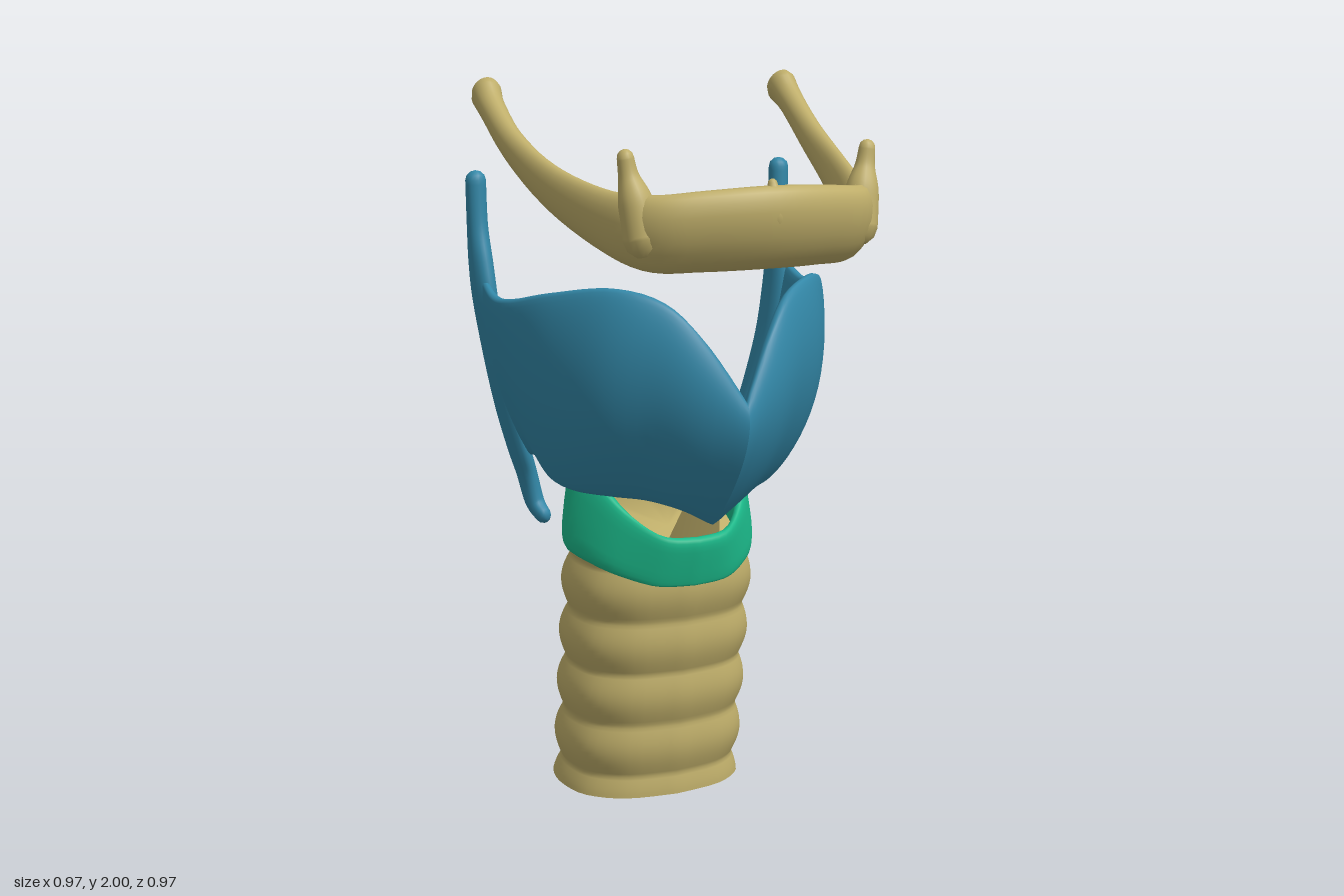
import * as THREE from 'three';

const V = (x, y, z) => new THREE.Vector3(x, y, z);
const material = (color, side = THREE.FrontSide) => new THREE.MeshStandardMaterial({ color, side });
const bone = material(0xbfae6a), tissue = material(0xbfae6a, THREE.DoubleSide);
const blue = material(0x3388a8), green = material(0x1cbc8c), orange = material(0xb8621e);

// Skin a list of closed rings; winding is chosen so that the enclosed volume is positive
function skin(rings, loop = false) {
  const n = rings[0].length, m = rings.length, pts = rings.flat(), index = [];
  for (let i = 0; i < (loop ? m : m - 1); i++) {
    for (let j = 0; j < n; j++) {
      const k = (j + 1) % n, r = ((i + 1) % m) * n;
      const a = i * n + j, b = i * n + k, c = r + k, d = r + j;
      index.push(a, b, c, a, c, d);
    }
  }
  let volume = 0;
  for (let i = 0; i < index.length; i += 3) {
    const [a, b, c] = [pts[index[i]], pts[index[i + 1]], pts[index[i + 2]]];
    volume += a.dot(b.clone().cross(c));
  }
  if (volume < 0) index.reverse();
  const g = new THREE.BufferGeometry().setFromPoints(pts);
  g.setIndex(index);
  g.computeVertexNormals();
  return g;
}

const mirror = rings => rings.map(r => r.map(p => V(-p.x, p.y, p.z)));

// Smooth interpolation through rows of numbers
function sampleRows(rows, u) {
  const f = u * (rows.length - 1), i = Math.min(Math.floor(f), rows.length - 2), t = f - i;
  const at = k => rows[Math.max(0, Math.min(rows.length - 1, k))];
  return rows[0].map((_, c) => {
    const p0 = at(i - 1)[c], p1 = at(i)[c], p2 = at(i + 1)[c], p3 = at(i + 2)[c];
    return p1 + 0.5 * t * (p2 - p0 + t * (2 * p0 - 5 * p1 + 4 * p2 - p3 + t * (3 * (p1 - p2) + p3 - p0)));
  });
}

// Round-ended tapered sweep; rows are [x, y, z, radius, radius towards ref]
function sweep(rows, ref = V(0, 0, 1), steps = 24, sides = 16) {
  rows = rows.map(r => (r.length === 4 ? [...r, r[3]] : r));
  const rings = [];
  const ring = (u, cap) => {
    const [x, y, z, a, b] = sampleRows(rows, u);
    const p = sampleRows(rows, Math.max(0, u - 0.01)), q = sampleRows(rows, Math.min(1, u + 0.01));
    const t = V(q[0] - p[0], q[1] - p[1], q[2] - p[2]).normalize();
    const side = t.clone().cross(ref).normalize(), up = side.clone().cross(t);
    const s = Math.cos(cap), centre = V(x, y, z).addScaledVector(t, Math.sin(cap) * Math.min(a, b));
    rings.push(Array.from({ length: sides }, (_, j) => {
      const w = (j / sides) * Math.PI * 2;
      return centre.clone().addScaledVector(side, a * s * Math.cos(w)).addScaledVector(up, b * s * Math.sin(w));
    }));
  };
  for (const c of [-1.57, -1.05, -0.52]) ring(0, c);
  for (let i = 0; i <= steps; i++) ring(i / steps, 0);
  for (const c of [0.52, 1.05, 1.57]) ring(1, c);
  return rings;
}

// Ringed windpipe with a hollowed back wall
function tracheaRings() {
  const half = [[0, 0.18], [0.14, 0.155], [0.23, 0.08], [0.255, -0.03], [0.24, -0.13], [0.2, -0.185], [0.1, -0.165], [0, -0.15]];
  const N = 28, rings = [];
  const outline = [];
  for (let i = 0; i < 2 * N; i++) {
    const u = i <= N ? i / N : 2 - i / N, [x, z] = sampleRows(half, u);
    outline.push([i <= N ? x : -x, z, u < 0.7 ? 1 : 0]);
  }
  const addRing = (y, scale, slant, shift) => rings.push(outline.map(([x, z, ribbed]) => {
    const bump = 0.085 * (Math.abs(Math.sin(Math.PI * (y - 0.06) / 0.155)) - 0.6);
    const s = scale * (1 + bump * ribbed);
    return V(x * s, y + slant * (0.18 - z * scale) / 0.36, z * s - 0.3 + 0.14 * y + shift);
  }));
  for (let i = 0; i <= 70; i++) addRing(i / 100, 1, 0, 0);
  // slanting closed top inside the cricoid ring
  addRing(0.7, 0.95, 0.06, 0.015);
  addRing(0.7, 0.88, 0.14, 0.03);
  addRing(0.7, 0.001, 0.14, 0.03);
  return rings;
}

// Signet-shaped ring: low arch in front, tall plate behind
function cricoidRings() {
  // outer x, z, inner x, z, bottom, top
  const keys = [
    [0, 0.042, 0, -0.005, 0.64, 0.78], [0.11, 0.022, 0.1, -0.025, 0.645, 0.79],
    [0.21, -0.06, 0.16, -0.09, 0.67, 0.85], [0.265, -0.16, 0.185, -0.17, 0.69, 0.92],
    [0.29, -0.26, 0.175, -0.24, 0.7, 0.965], [0.25, -0.335, 0.14, -0.3, 0.7, 1.0],
    [0.18, -0.405, 0.09, -0.335, 0.7, 1.03], [0.08, -0.425, 0.04, -0.345, 0.725, 1.03], [0, -0.44, 0, -0.345, 0.735, 1.01]];
  const N = 36, sides = 24, round = c => Math.sign(c) * Math.abs(c) ** 0.65;
  return Array.from({ length: 2 * N }, (_, i) => {
    const [ox, oz, ix, iz, yb, yt] = sampleRows(keys, i <= N ? i / N : 2 - i / N), sx = i <= N ? 1 : -1;
    return Array.from({ length: sides }, (_, j) => {
      const w = (j / sides) * Math.PI * 2, r = 0.5 + 0.5 * round(Math.cos(w)), h = 0.5 + 0.5 * round(Math.sin(w));
      // the sides lean inwards towards the top and the front arch towards the bottom
      const x = ix + (ox * (1 - 0.14 * h) - ix) * r, lean = 0.04 * (1 - h) * Math.max(0, 0.8 + 5 * oz);
      return V(sx * x, yb + (yt - yb) * h, iz + (oz - iz) * r - lean * r);
    });
  });
}

// One wing of the thyroid shield: bottom, middle and top points from the front midline to the back edge
function wingRings() {
  const keys = [
    [0, 0.84, 0.1, 0, 1.06, 0.27, 0, 1.2, 0.295], [0.07, 0.88, 0.08, 0.1, 1.12, 0.235, 0.085, 1.35, 0.245],
    [0.15, 0.905, 0.03, 0.2, 1.18, 0.168, 0.17, 1.45, 0.185], [0.22, 0.91, -0.03, 0.3, 1.18, 0.078, 0.28, 1.485, 0.1],
    [0.285, 0.91, -0.13, 0.365, 1.16, -0.05, 0.39, 1.46, -0.05], [0.315, 0.925, -0.22, 0.4, 1.16, -0.18, 0.445, 1.43, -0.18],
    [0.32, 0.97, -0.31, 0.405, 1.18, -0.31, 0.46, 1.43, -0.28], [0.325, 0.95, -0.43, 0.405, 1.18, -0.43, 0.452, 1.49, -0.41]];
  const point = (u, v) => {
    const k = sampleRows(keys, u), a = (1 - v) * (1 - 2 * v), b = 4 * v * (1 - v), c = v * (2 * v - 1);
    return V(...[0, 1, 2].map(i => a * k[i] + b * k[i + 3] + c * k[i + 6]));
  };
  const rings = [], U = 48, sides = 48, e = 0.005;
  for (let i = 0; i <= U; i++) {
    const u = Math.sin((i / U) * Math.PI / 2), ring = [];
    for (let j = 0; j < sides; j++) {
      const w = (j / sides) * Math.PI * 2, v = 0.5 - 0.5 * Math.cos(w);
      const u0 = Math.max(0, u - e), u1 = Math.min(1, u + e), v0 = Math.max(0, v - e), v1 = Math.min(1, v + e);
      const normal = point(u1, v).sub(point(u0, v)).cross(point(u, v1).sub(point(u, v0)));
      if (i === 0) normal.x = 0;
      normal.normalize();
      const thick = 0.025 * Math.sign(Math.sin(w)) * Math.abs(Math.sin(w)) ** 0.5 * Math.sqrt(Math.max(0, 1 - u ** 12));
      const p = point(u, v).addScaledVector(normal, thick);
      p.x = Math.max(0, p.x);
      ring.push(p);
    }
    rings.push(ring);
  }
  return rings;
}

export function createModel() {
  const model = new THREE.Group();
  const add = (name, geometry, mat) => {
    const mesh = new THREE.Mesh(geometry, mat);
    mesh.name = name;
    model.add(mesh);
  };
  const addPair = (name, rings, mat) => {
    add(name + 'Left', skin(rings), mat);
    add(name + 'Right', skin(mirror(rings)), mat);
  };

  add('trachea', skin(tracheaRings()), tissue);
  add('cricoidCartilage', skin(cricoidRings(), true), green);

  // thyroid shield; its thick back border runs on into the upper and lower horns
  addPair('thyroidWing', wingRings(), blue);
  addPair('thyroidBackBorderAndHorns', sweep([[0.458, 1.722, -0.404, 0.028, 0.026], [0.456, 1.6, -0.403, 0.028, 0.032],
    [0.452, 1.5, -0.393, 0.031, 0.048], [0.444, 1.4, -0.385, 0.031, 0.058], [0.42, 1.25, -0.385, 0.028, 0.06],
    [0.385, 1.1, -0.398, 0.027, 0.058], [0.348, 0.98, -0.407, 0.028, 0.054], [0.322, 0.9, -0.413, 0.027, 0.042],
    [0.304, 0.82, -0.403, 0.026, 0.033], [0.291, 0.785, -0.372, 0.022, 0.028]], V(0, 0, 1), 60), blue);

  // hyoid bone: one U-shaped sweep, two lesser horns and a middle ridge
  const arm = [[0.16, 1.655, 0.39, 0.055, 0.108], [0.28, 1.65, 0.335, 0.052, 0.1], [0.35, 1.675, 0.21, 0.036, 0.08],
    [0.408, 1.738, 0.02, 0.03, 0.06], [0.435, 1.825, -0.17, 0.031, 0.045], [0.442, 1.91, -0.3, 0.034, 0.04], [0.44, 1.95, -0.355, 0.04, 0.05]];
  const left = arm.map(([x, ...rest]) => [-x, ...rest]).reverse();
  add('hyoidBone', skin(sweep([...left, [0, 1.66, 0.415, 0.057, 0.112], ...arm], V(0, 1, 0.4), 72, 20)), bone);
  addPair('lesserHorn', sweep([[0.3, 1.64, 0.335, 0.05], [0.315, 1.73, 0.325, 0.043], [0.328, 1.79, 0.315, 0.026], [0.335, 1.835, 0.312, 0.021]]), bone);
  add('hyoidRidge', skin(sweep([[0, 1.64, 0.435, 0.025], [0, 1.7, 0.452, 0.03], [0, 1.77, 0.438, 0.012]])), bone);

  // arytenoids: upright horn, outer arm, inner corner and forward arm
  const up = V(0, 1, 0);
  addPair('arytenoidBody', sweep([[0.12, 1.0, -0.305, 0.05], [0.112, 1.07, -0.32, 0.04], [0.097, 1.14, -0.34, 0.024], [0.088, 1.2, -0.362, 0.012]]), orange);
  addPair('arytenoidOuterArm', sweep([[0.1, 1.06, -0.315, 0.035, 0.045], [0.14, 1.04, -0.325, 0.03, 0.035], [0.163, 1.02, -0.32, 0.024]], up), orange);
  addPair('arytenoidInnerCorner', sweep([[0.11, 1.07, -0.32, 0.03], [0.075, 1.08, -0.335, 0.018]], up), orange);
  addPair('arytenoidForwardArm', sweep([[0.118, 1.05, -0.305, 0.048], [0.083, 1.05, -0.26, 0.036], [0.045, 1.05, -0.205, 0.016]], up), orange);

  // vocal cords and their front anchor
  addPair('vocalCord', sweep([[0.048, 1.05, -0.23, 0.014, 0.02], [0.038, 1.045, -0.08, 0.014, 0.018], [0.024, 1.035, 0.09, 0.013, 0.018]], up), orange);
  add('vocalCordAnchor', skin(sweep([[0, 1.035, 0.085, 0.04, 0.03], [0, 1.03, 0.13, 0.03, 0.025]], up)), orange);

  // thin membrane between the thyroid shield and the front arch
  const membrane = new THREE.PlaneGeometry(1, 1, 8, 6), pos = membrane.attributes.position;
  for (let i = 0; i < pos.count; i++) {
    const t = pos.getY(i) + 0.5, x = pos.getX(i) * (0.16 - 0.08 * t);
    pos.setXYZ(i, x, 0.76 + 0.18 * t, -0.005 + 0.085 * t - 1.5 * x * x);
  }
  membrane.computeVertexNormals();
  add('frontMembrane', membrane, tissue);
  return model;
}
